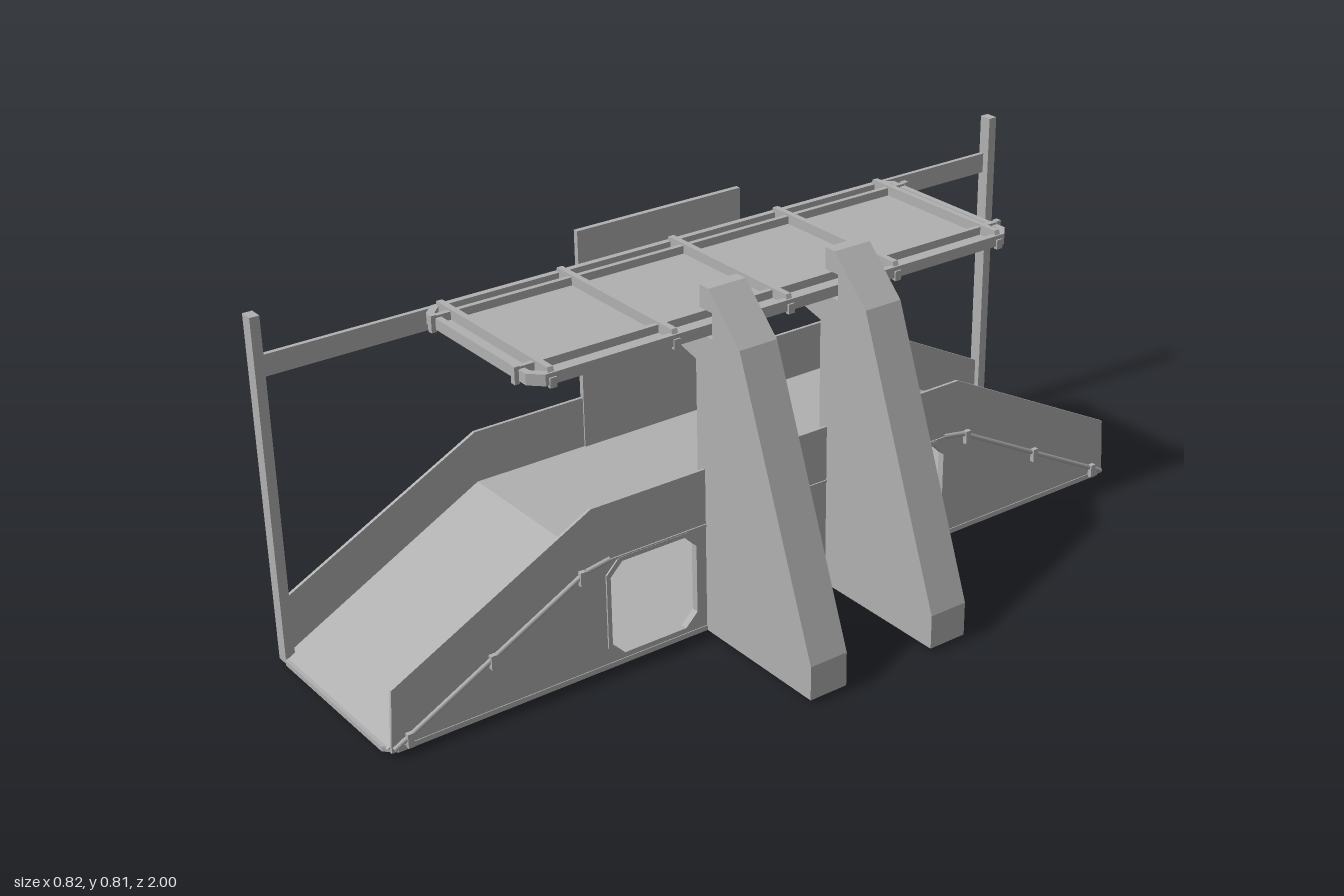
import * as THREE from 'three';

const grey = new THREE.MeshStandardMaterial({ color: 0xb0b0b0 });
grey.name = 'concrete grey';
grey.side = THREE.DoubleSide;

const toShape = (pts) => new THREE.Shape(pts.map(([a, b]) => new THREE.Vector2(a, b)));
const toPath = (pts) => new THREE.Path(pts.map(([a, b]) => new THREE.Vector2(a, b)));

// rectangle with cut corners
function cutRect(a0, b0, a1, b1, c) {
  return [[a0 + c, b0], [a1 - c, b0], [a1, b0 + c], [a1, b1 - c],
    [a1 - c, b1], [a0 + c, b1], [a0, b1 - c], [a0, b0 + c]];
}

function extrude(pts, depth, holes = []) {
  const shape = toShape(pts);
  holes.forEach((h) => shape.holes.push(toPath(h)));
  return new THREE.ExtrudeGeometry(shape, { depth, bevelEnabled: false });
}

// outline in (z, y), filling x0..x1
const sideSlab = (pts, x0, x1, holes) =>
  extrude(pts, x1 - x0, holes).rotateY(-Math.PI / 2).translate(x1, 0, 0);

// outline in (x, -z), filling y0..y1
const flatSlab = (pts, y0, y1, holes) =>
  extrude(pts, y1 - y0, holes).rotateX(-Math.PI / 2).translate(0, y0, 0);

const boxBetween = (x0, x1, y0, y1, z0, z1) =>
  new THREE.BoxGeometry(x1 - x0, y1 - y0, z1 - z0)
    .translate((x0 + x1) / 2, (y0 + y1) / 2, (z0 + z1) / 2);

// thin pipe between two points
function rod(a, b, r) {
  const curve = new THREE.LineCurve3(new THREE.Vector3(...a), new THREE.Vector3(...b));
  return new THREE.TubeGeometry(curve, 1, r, 6);
}

export function createModel() {
  const model = new THREE.Group();
  const add = (name, geo, parent = model) => {
    const mesh = new THREE.Mesh(geo, grey);
    mesh.name = name;
    parent.add(mesh);
    return mesh;
  };
  const group = (name) => {
    const g = new THREE.Group();
    g.name = name;
    model.add(g);
    return g;
  };

  // base and ramped deck
  add('base', boxBetween(-0.4, 0.025, 0, 0.012, -0.98, 0.98));
  add('floorPlate', flatSlab(cutRect(-0.4, -1, 0.055, 1, 0.025), 0.01, 0.022));
  add('rampDeck', sideSlab([[0.995, 0.02], [0.5, 0.28], [-0.5, 0.28], [-0.995, 0.02],
    [-0.96, 0.02], [-0.495, 0.265], [0.495, 0.265], [0.96, 0.02]], -0.398, 0.045));

  // side walls with parapets
  const wall = [[-0.99, 0.012], [0.99, 0.012], [0.98, 0.155], [0.5, 0.4],
    [-0.5, 0.4], [-0.98, 0.155]];
  const ports = [[0.23, 0.47], [-0.47, -0.23]];
  add('portWall', sideSlab(wall, 0.046, 0.053,
    ports.map(([a, b]) => cutRect(a + 0.008, 0.035, b - 0.008, 0.26, 0.03))));
  add('plainWall', sideSlab(wall, -0.402, -0.394));
  const portFrames = group('portFrames');
  for (const [a, b] of ports) {
    add('portFrame', sideSlab(cutRect(a, 0.027, b, 0.268, 0.033), 0.04, 0.057,
      [cutRect(a + 0.01, 0.037, b - 0.01, 0.258, 0.03)]), portFrames);
  }

  // pipes and clips following the ramps
  const pipes = group('sidePipes');
  for (const s of [-1, 1]) {
    for (const x of [0.055, -0.403]) {
      const r = x > 0 ? 0.006 : 0.004;
      add('rampPipe', rod([x, 0.02, s * 0.985], [x, 0.262, s * 0.52], r), pipes);
      add('pipeEnd', rod([x, 0.262, s * 0.52], [x, 0.272, s * 0.46], r), pipes);
      for (const [z, y] of [[0.95, 0.03], [0.75, 0.135], [0.53, 0.25]]) {
        add('pipeClip', boxBetween(x - 0.005, x + (x > 0 ? 0.009 : 0.004),
          y - 0.014, y + 0.018, s * z - 0.007, s * z + 0.007), pipes);
      }
    }
  }
  add('deckLedge', boxBetween(0.045, 0.056, 0.265, 0.271, -0.47, 0.47), pipes);
  add('middleClip', boxBetween(0.05, 0.064, 0.245, 0.275, -0.007, 0.007), pipes);

  // two buttress frames reaching over the deck
  const frame = [[0.027, 0.01], [0.41, 0.01], [0.41, 0.09], [0.175, 0.715], [0.072, 0.815],
    [0.042, 0.815], [0.042, 0.766], [0.084, 0.766], [0.084, 0.708], [-0.392, 0.708],
    [-0.392, 0.671], [-0.08, 0.671], [0.027, 0.645]];
  const slots = [cutRect(-0.338, 0.679, -0.218, 0.701, 0.006),
    cutRect(-0.203, 0.679, -0.082, 0.701, 0.006)];
  const frames = group('buttressFrames');
  for (const z of [-0.212, 0.117]) {
    add('buttressFrame', extrude(frame, 0.095, slots).translate(0, 0, z), frames);
  }

  // back screen, corner posts and handrails
  add('backScreen', boxBetween(-0.403, -0.39, 0.265, 0.798, -0.22, 0.22));
  for (const s of [-1, 1]) {
    const [z0, z1] = s > 0 ? [0.975, 0.997] : [-0.997, -0.975];
    add('cornerPost', boxBetween(-0.411, -0.38, 0.01, 0.806, z0, z1));
    const [r0, r1] = s > 0 ? [0.11, 0.98] : [-0.98, -0.11];
    add('handrail', boxBetween(-0.408, -0.397, 0.665, 0.713, r0, r1));
  }

  // canopy: panel, raised rim, ribs and clips
  const canopy = group('canopy');
  add('canopyPanel', flatSlab(cutRect(-0.36, -0.632, 0.072, 0.632, 0.028), 0.712, 0.724), canopy);
  add('canopyRim', flatSlab(cutRect(-0.36, -0.632, 0.072, 0.632, 0.028), 0.722, 0.737,
    [cutRect(-0.345, -0.617, 0.057, 0.617, 0.022)]), canopy);
  for (const x of [-0.302, 0.013]) {
    add('longRib', boxBetween(x - 0.006, x + 0.006, 0.722, 0.742, -0.635, 0.635), canopy);
    for (const s of [-1, 1]) {
      add('endClip', boxBetween(x - 0.007, x + 0.007, 0.706, 0.744,
        s * 0.636 - 0.006, s * 0.636 + 0.006), canopy);
    }
  }
  for (const z of [-0.588, -0.292, 0, 0.292, 0.588]) {
    add('crossRib', extrude([[-0.362, 0.72], [0.074, 0.72], [0.064, 0.747], [-0.352, 0.747]], 0.014)
      .translate(0, 0, z - 0.007), canopy);
    for (const x of [-0.362, 0.071]) {
      add('sideClip', boxBetween(x - 0.005, x + 0.005, 0.706, 0.728, z - 0.008, z + 0.008), canopy);
    }
  }
  return model;
}
